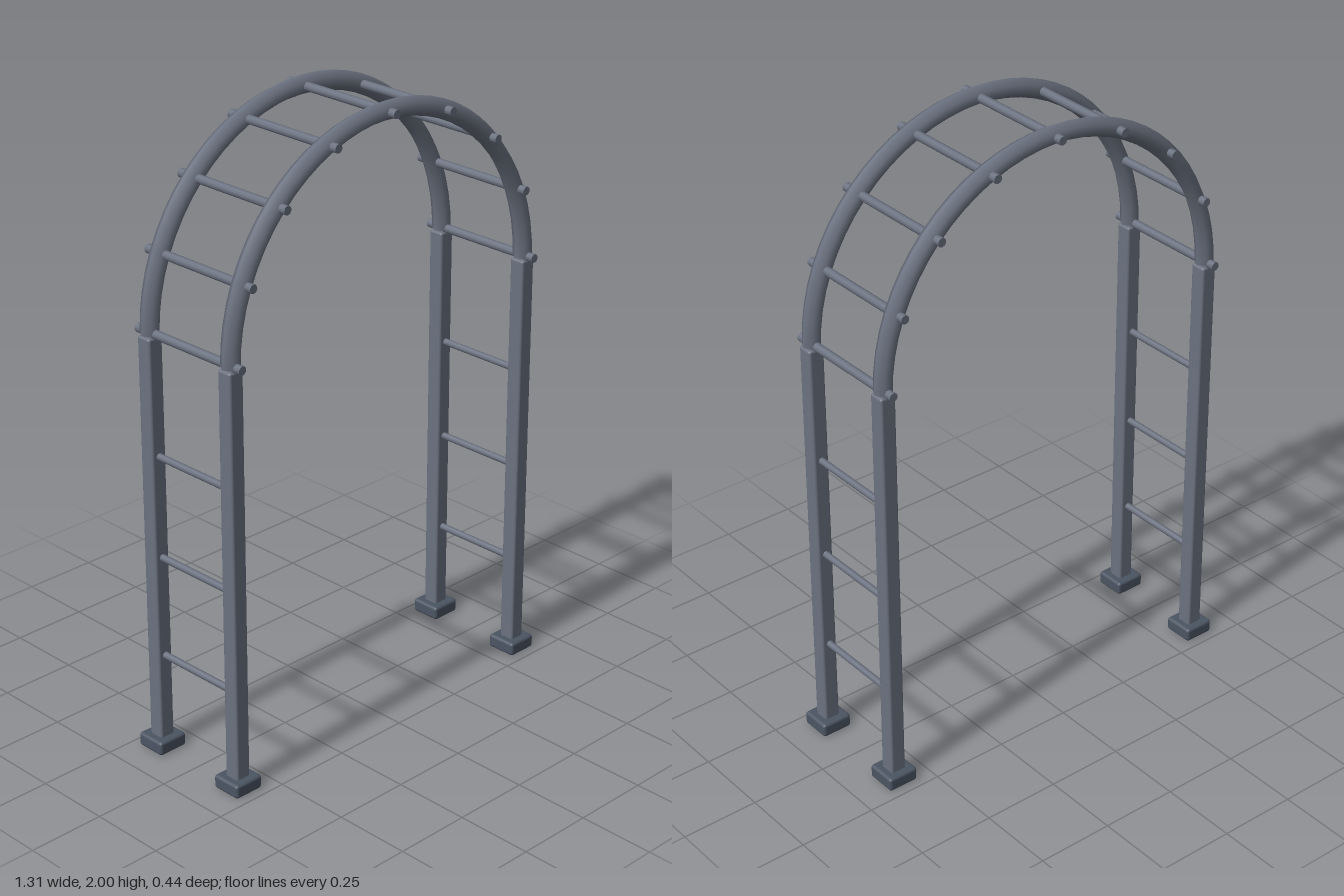
import * as THREE from 'three';
import { RoundedBoxGeometry } from 'three/addons/geometries/RoundedBoxGeometry.js';

const R = 0.605;        // half the width between posts, and the arch radius
const SPRING = 1.37;    // height where the arch begins
const RAIL_Z = 0.17;    // front and back frames

export function createModel() {
  const model = new THREE.Group();
  model.name = 'gardenArch';
  const steel = new THREE.MeshStandardMaterial({ color: 0x6b7280, side: THREE.DoubleSide });
  const dark = new THREE.MeshStandardMaterial({ color: 0x4b5563 });

  const add = (name, geometry, material, x, y, z) => {
    const mesh = new THREE.Mesh(geometry, material);
    mesh.name = name;
    mesh.position.set(x, y, z);
    model.add(mesh);
    return mesh;
  };

  // Geometries shared by the repeated parts
  const footGeo = new RoundedBoxGeometry(0.102, 0.045, 0.102, 2, 0.01);
  const postGeo = new RoundedBoxGeometry(0.052, 1.335, 0.052, 2, 0.008);
  const archGeo = new THREE.TorusGeometry(R, 0.03, 6, 32, Math.PI);
  const archRungGeo = new THREE.CylinderGeometry(0.014, 0.014, 0.44, 10).rotateX(Math.PI / 2);
  const sideRungGeo = new THREE.CylinderGeometry(0.011, 0.011, 0.31, 10).rotateX(Math.PI / 2);

  // Two frames: feet, upright posts and a half-round top rail
  for (const z of [-RAIL_Z, RAIL_Z]) {
    for (const x of [-R, R]) {
      add('foot', footGeo, dark, x, 0.0275, z);
      add('post', postGeo, steel, x, 0.6975, z);
    }
    add('archRail', archGeo, steel, 0, SPRING, z);
  }

  // Ladder rungs between the posts
  for (const x of [-R, R]) {
    for (const y of [0.33, 0.66, 0.99]) add('sideRung', sideRungGeo, steel, x, y, 0);
  }

  // Rungs passing through the arch rails at equal angles
  for (let i = 0; i <= 8; i++) {
    const a = (i / 8) * Math.PI;
    add('archRung', archRungGeo, steel, R * Math.cos(a), SPRING + 0.005 + (R - 0.005) * Math.sin(a), 0);
  }

  return model;
}
